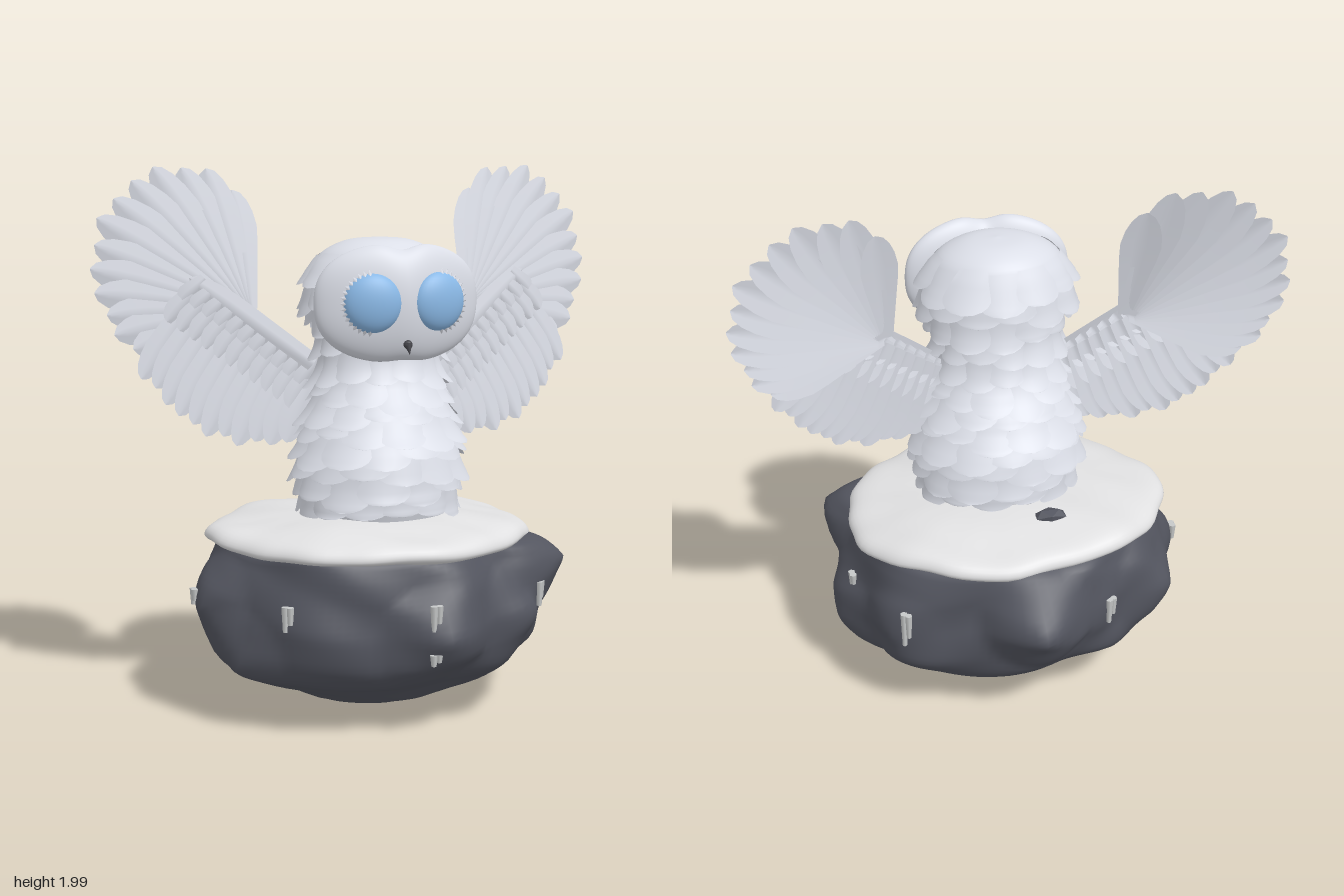
import * as THREE from 'three';
import { mergeGeometries, mergeVertices } from 'three/addons/utils/BufferGeometryUtils.js';

const TAU = Math.PI * 2;
const mat = (name, color, side = THREE.FrontSide) => {
  const m = new THREE.MeshStandardMaterial({ color, side });
  m.name = name;
  return m;
};

// Smooth grid surface from a rule f(u, v) -> [x, y, z]; u runs right, v runs up
function surface(nu, nv, f) {
  const g = new THREE.PlaneGeometry(1, 1, nu, nv);
  const p = g.attributes.position, uv = g.attributes.uv;
  for (let i = 0; i < p.count; i++) p.setXYZ(i, ...f(uv.getX(i), uv.getY(i)));
  g.deleteAttribute('uv');
  g.deleteAttribute('normal');
  const m = mergeVertices(g, 1e-5);
  m.computeVertexNormals();
  return m;
}

// Round-tipped feather: rule gets u (root to tip) and w (signed width, -1..1)
function feather(rule, base, nu = 6, nv = 8) {
  return surface(nu, nv, (s, t) => {
    const u = 1 - Math.pow(t, 1.7), k = Math.max(0, (u - 0.65) / 0.35);
    const width = k > 0 ? Math.sqrt(Math.max(0.002, 1 - k * k)) : base + (1 - base) * (u / 0.65);
    return rule(u, (s * 2 - 1) * width);
  });
}

const noise = (x, y, z) =>
  Math.sin(9 * x + 4 * y + 1) * Math.sin(8 * z - 5 * y + 2) + 0.6 * Math.sin(17 * x - 11 * z + 9 * y) * Math.cos(15 * y + 7 * z);

// Rock outline by height, and spurs as [angle, height, reach]
const rockCurve = new THREE.SplineCurve([[0, 0.005], [0.2, 0.045], [0.42, 0.135], [0.56, 0.225], [0.605, 0.35], [0.6, 0.48],
  [0.57, 0.6], [0.5, 0.665], [0.25, 0.685], [0, 0.685]].map(a => new THREE.Vector2(...a)));
const spurs = [[3.2, 0.47, 0.15], [0.08, 0.37, 0.1], [-2.15, 0.45, 0.08], [1.05, 0.58, 0.12], [0.75, 0.4, 0.08],
  [-1.5, 0.42, 0.09], [1.7, 0.28, 0.06], [-1.2, 0.25, 0.06], [2.3, 0.35, 0.04]];
function rockPoint(a, v) {
  const c = rockCurve.getPoint(v), s = Math.sin(a), k = Math.cos(a), fade = Math.min(1, c.x * 3);
  let r = c.x + 0.025 * noise(s * c.x, c.y, k * c.x) * fade;
  for (const [sa, sy, reach] of spurs) {
    const d = Math.atan2(Math.sin(a - sa), Math.cos(a - sa));
    r += reach * Math.max(0, 1 - Math.hypot(d / 0.36, (c.y - sy) / 0.2)) * Math.min(1, c.x * 2);
  }
  const y = c.y + 0.012 * noise(k * c.x, c.y * 2, s * c.x) * fade;
  return [r * s * 1.01, Math.max(0, y), 0.015 + r * k * 0.85];
}

// Point on the rock side at a given angle and height
function rockSide(a, y) {
  let best = rockPoint(a, 0.3);
  for (let v = 0.3; v < 0.75; v += 0.01) {
    const p = rockPoint(a, v);
    if (Math.abs(p[1] - y) < Math.abs(best[1] - y)) best = p;
  }
  return best;
}

// Body outline: side radius, height, depth radius
const BODY_Z = 0.07;
const bodyCurve = new THREE.CatmullRomCurve3([[0.25, 0.72, 0.2], [0.285, 0.85, 0.24], [0.285, 0.97, 0.255], [0.255, 1.1, 0.22],
  [0.215, 1.25, 0.172], [0.22, 1.38, 0.17], [0.255, 1.5, 0.19], [0.262, 1.59, 0.2], [0.225, 1.68, 0.18], [0.13, 1.735, 0.11],
  [0.001, 1.75, 0.001]].map(a => new THREE.Vector3(...a)));
const bodySamples = bodyCurve.getPoints(150);
function bodyAt(y) {
  return bodySamples.reduce((b, p) => (Math.abs(p.y - y) < Math.abs(b.y - y) ? p : b));
}

// One ring of overlapping scale feathers wrapped on the body
function featherRow(y, count, length, flare, from, to, shift) {
  const out = [], step = (to - from) / count;
  for (let i = 0; i < count; i++) {
    const a0 = from + (i + 0.5 + shift) * step, wave = Math.sin(i * 5.3 + y * 40);
    const len = length * (1 + 0.14 * wave), top = y + 0.012 * Math.sin(i * 2.9 + y * 25);
    out.push(feather((u, w) => {
      const a = a0 + w * step * 0.68, yy = top - len * u, b = bodyAt(Math.max(yy, 0.73));
      const lift = 0.003 + flare * (1 + 0.4 * wave) * u * u + 0.014 * (1 - w * w) * u + (i % 2) * 0.003;
      return [(b.x + lift) * Math.sin(a), yy, BODY_Z + (b.z + lift) * Math.cos(a)];
    }, 0.75));
  }
  return out;
}

// Flat wing feather lying in a slanted plane z = a + b*x + c*y
function wingFeather(side, root, angle, length, width, plane, lift, base = 0.3) {
  const c = Math.cos(angle), s = Math.sin(angle);
  return feather((u, w) => {
    const x = root[0] + c * length * u - s * width * w;
    const y = root[1] + s * length * u + c * width * w;
    const z = plane[0] + plane[1] * x + plane[2] * y + lift + 0.012 * w - 0.012 * Math.abs(w) - 0.012 * u * u;
    return [side * x, y, z];
  }, base);
}

export function createModel() {
  const model = new THREE.Group();
  const plumage = mat('plumage white', 0xdcdfe8, THREE.DoubleSide);
  const snowMat = mat('snow', 0xe0e0e1);
  const rockMat = mat('slate rock', 0x53555f);
  const eyeMat = mat('sky blue', 0x8fbfee);
  const beakMat = mat('beak grey', 0x48484e);
  const iceMat = mat('ice', 0xc6c8c8);
  const add = (name, geometry, material, parent = model) => {
    const m = new THREE.Mesh(geometry, material);
    m.name = name;
    parent.add(m);
    return m;
  };

  // Rock base
  add('rock', surface(120, 50, (u, v) => rockPoint(u * TAU, v)), rockMat);

  // Snow cap with a thin uneven rim
  const snowCurve = new THREE.SplineCurve([[0.5, 0.63], [0.585, 0.64], [0.605, 0.665], [0.57, 0.7], [0.46, 0.725], [0.3, 0.748], [0, 0.755]]
    .map(a => new THREE.Vector2(...a)));
  add('snowCap', surface(90, 24, (u, v) => {
    const a = u * TAU, c = snowCurve.getPoint(v), s = Math.sin(a), k = Math.cos(a);
    const r = c.x * (1 + 0.02 * Math.sin(3 * a + 1) + 0.012 * Math.sin(7 * a) + 0.006 * Math.sin(17 * a));
    const y = c.y + 0.01 * noise(r * s, 0, r * k) * Math.min(1, c.x * 2) - 0.015 * s * c.x;
    return [-0.015 + r * s, y, 0.03 + r * k * 0.825];
  }), snowMat);

  // Flat stone poking through the snow behind the bird
  const stone = add('smallStone', new THREE.IcosahedronGeometry(0.065, 0), rockMat);
  stone.position.set(-0.14, 0.745, -0.225);
  stone.scale.set(1, 0.4, 0.6);

  // Icicles hanging on the rock sides: angle, height, length
  for (const [a, y, h] of [[-0.8, 0.45, 0.09], [0.04, 0.46, 0.09], [0.04, 0.31, 0.04], [0.87, 0.46, 0.09], [1.76, 0.46, 0.06],
    [2.4, 0.42, 0.14], [-2.6, 0.44, 0.1], [-1.6, 0.46, 0.06]]) {
    const p = rockSide(a, y);
    for (let i = 0; i < 2; i++) {
      const length = h * (1 - 0.3 * i), along = i * 0.02 - 0.01;
      const ice = add('icicle', new THREE.CylinderGeometry(0.014, 0.009, length, 6), iceMat);
      ice.position.set(p[0] + along * Math.cos(a) + 0.005 * Math.sin(a), y + 0.5 * (h - length), p[2] - along * Math.sin(a) + 0.005 * Math.cos(a));
    }
  }

  // Body and head core
  add('body', surface(48, 50, (u, v) => {
    const b = bodyCurve.getPoint(v), a = u * TAU;
    return [b.x * Math.sin(a), b.y, BODY_Z + b.z * Math.cos(a)];
  }), plumage);

  // Body feathers all round, head feathers on the sides and back only
  const scales = [];
  for (let i = 0; i < 8; i++) scales.push(...featherRow(1.35 - i * 0.068, 13, 0.125, 0.03, 0, TAU, (i % 2) * 0.5));
  [1.69, 1.61, 1.53, 1.44].forEach((y, i) => scales.push(...featherRow(y, 9, 0.12, 0.03, 0.95, TAU - 0.95, (i % 2) * 0.3 - 0.15)));
  add('bodyFeathers', mergeGeometries(scales), plumage);

  // Two-lobed facial disc, swept back at the sides
  const disc = new THREE.SphereGeometry(1, 56, 36);
  const dp = disc.attributes.position;
  for (let i = 0; i < dp.count; i++) {
    const x = dp.getX(i), y = dp.getY(i), r = Math.hypot(x, y) || 1;
    const k = Math.pow(Math.abs(x / r) ** 2.4 + Math.abs(y / r) ** 2.4, -1 / 2.4);
    const X = 0.306 * x * k;
    const notch = Math.exp(-((X / 0.06) ** 2)) * y * (y > 0 ? -0.025 : -0.01);
    dp.setXYZ(i, X, 1.53 + 0.21 * y * k + notch, 0.31 - 0.2 * Math.sqrt(X * X + 0.0004) + 0.073 * dp.getZ(i));
  }
  disc.computeVertexNormals();
  add('facialDisc', disc, plumage);

  // Eyes with short bristles around the outer half
  for (const side of [1, -1]) {
    const eye = new THREE.Group();
    eye.name = side > 0 ? 'leftEye' : 'rightEye';
    eye.position.set(side * 0.122, 1.535, 0.342);
    eye.rotation.y = side * 0.2;
    model.add(eye);
    add('eyeball', new THREE.SphereGeometry(0.103, 32, 20), eyeMat, eye).scale.z = 0.45;
    const bristles = [];
    for (let i = 0; i < 17; i++) {
      const g = new THREE.ConeGeometry(0.011, 0.02, 4);
      g.translate(0, 0.106, 0.006).rotateZ(-side * (0.1 + (i / 16) * 2.94));
      bristles.push(g);
    }
    add('eyeBristles', mergeGeometries(bristles), plumage, eye);
  }

  // Small hooked beak
  const beak = add('beak', new THREE.SphereGeometry(0.016, 12, 10), beakMat);
  beak.position.set(0, 1.39, 0.365);
  const tip = add('beakTip', new THREE.ConeGeometry(0.0145, 0.04, 12), beakMat);
  tip.position.set(0, 1.374, 0.375);
  tip.rotation.x = Math.PI - 0.4;

  // Wings: a tall outer fan behind, and an arm with trailing feathers in front
  const fanPlane = [0.22, -0.18, -0.17], armPlane = [0.24, -0.2, -0.15];
  const arm = new THREE.QuadraticBezierCurve(new THREE.Vector2(0.24, 1.27), new THREE.Vector2(0.42, 1.41), new THREE.Vector2(0.62, 1.56));
  for (const side of [1, -1]) {
    const wing = new THREE.Group();
    wing.name = side > 0 ? 'leftWing' : 'rightWing';
    model.add(wing);
    const fan = [], trailing = [], coverts = [];
    for (let i = 0; i < 13; i++) {
      const t = i / 12, angle = 1.47 - t * 1.8;
      const length = 0.43 + 0.18 * Math.sin(Math.PI * Math.pow(t, 0.75)) + 0.01 * Math.sin(i * 2.4);
      fan.push(wingFeather(side, [0.425 + 0.02 * t, 1.485], angle, length, 0.068, fanPlane, -0.001 * i));
    }
    for (let i = 0; i < 11; i++) {
      const t = i / 10, p = arm.getPoint(t), angle = -1.2 + t * 0.22;
      const length = 0.3 + 0.09 * Math.sin(Math.PI * t) + 0.09 * t + 0.012 * Math.sin(i * 2.7);
      trailing.push(wingFeather(side, [p.x - 0.01, p.y + 0.02], angle, length, 0.055, armPlane, 0.01 - 0.001 * i, 0.5));
      coverts.push(wingFeather(side, [p.x - 0.01, p.y + 0.03], angle + 0.15, 0.19, 0.045, armPlane, 0.018, 0.5));
      coverts.push(wingFeather(side, [p.x - 0.02, p.y + 0.04], angle + 0.25, 0.12, 0.04, armPlane, 0.025, 0.6));
    }
    add('fanFeathers', mergeGeometries(fan), plumage, wing);
    add('trailingFeathers', mergeGeometries(trailing), plumage, wing);
    add('covertFeathers', mergeGeometries(coverts), plumage, wing);
    // Flat rounded leading edge
    add('wingArm', wingFeather(side, [0.24, 1.29], 0.65, 0.52, 0.05, armPlane, 0.034, 0.8), plumage, wing);
  }
  return model;
}
